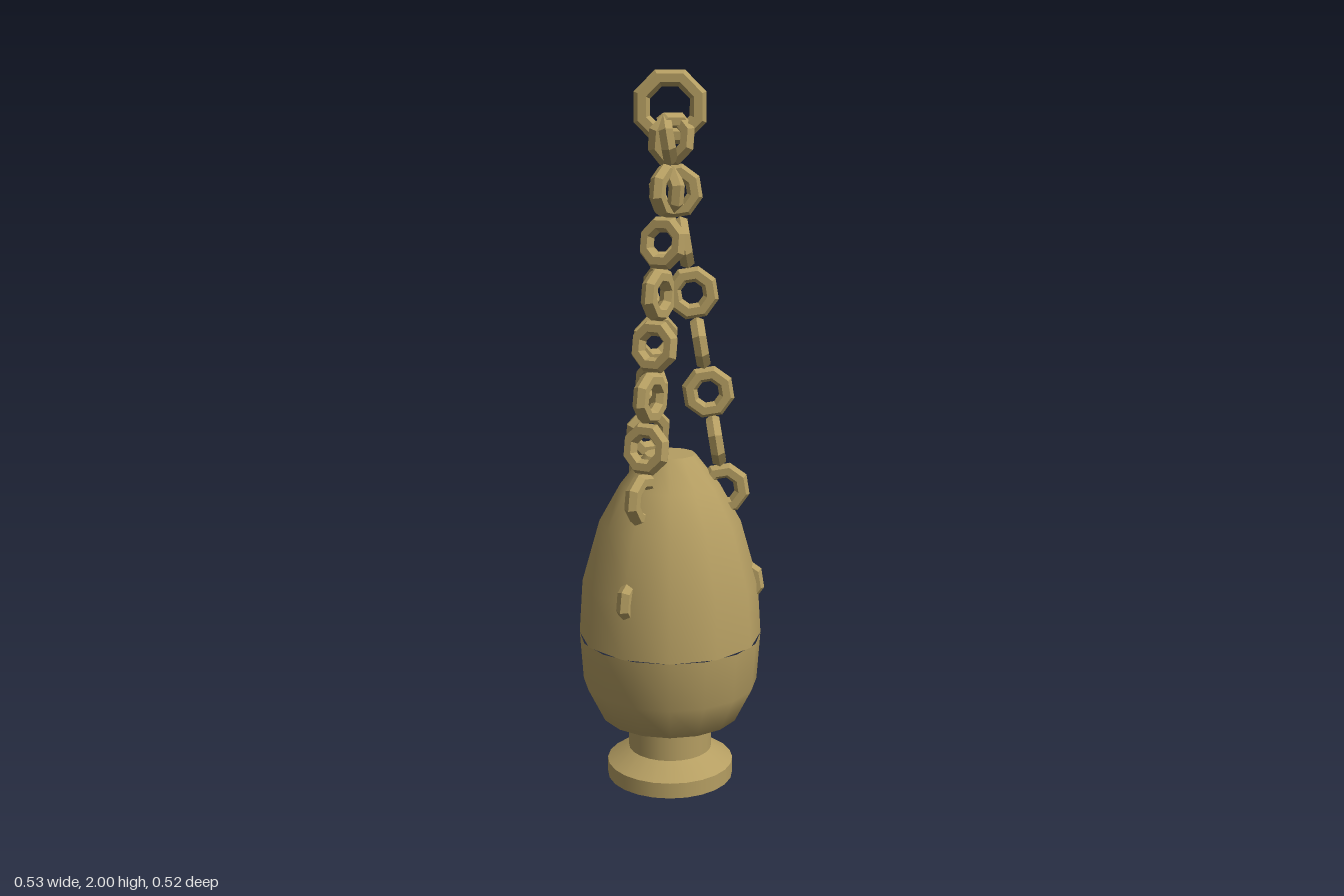
import * as THREE from 'three';

export function createModel() {
  const model = new THREE.Group();
  model.name = 'hangingCenser';
  const brass = new THREE.MeshStandardMaterial({ color: 0xb59e62 });
  brass.name = 'brass';

  const add = (parent, name, geometry) => {
    const mesh = new THREE.Mesh(geometry, brass);
    mesh.name = name;
    parent.add(mesh);
    return mesh;
  };
  // Smooth lathe; profile runs from bottom to top as [radius, height]
  const lathe = (name, profile, sides) => add(model, name,
    new THREE.LatheGeometry(profile.map(([r, y]) => new THREE.Vector2(r, y)), sides));

  // Foot, in separate bands so the edges stay sharp
  lathe('footUnderside', [[0, 0], [0.182, 0]], 24);
  lathe('footRim', [[0.182, 0], [0.182, 0.045]], 24);
  lathe('footSlope', [[0.182, 0.045], [0.12, 0.085]], 24);
  lathe('footNeck', [[0.12, 0.08], [0.12, 0.16]], 24);

  // Bowl and lid meet at the widest point
  lathe('bowl', [[0, 0.15], [0.118, 0.155], [0.2, 0.19], [0.25, 0.29], [0.26, 0.43]], 16);
  lathe('lid', [[0.26, 0.43], [0.25, 0.585], [0.2, 0.762], [0.14, 0.87], [0.072, 0.957]], 12);
  lathe('lidTop', [[0.072, 0.957], [0, 0.957]], 12);

  // Faceted ring with a flat on top
  const ring = (radius, tube) => {
    const g = new THREE.TorusGeometry(radius, tube, 6, 8);
    g.rotateZ(Math.PI / 8);
    const flat = g.toNonIndexed();
    flat.computeVertexNormals();
    return flat;
  };
  add(model, 'hangingRing', ring(0.081, 0.024)).position.y = 1.903;

  // Three chains spread from the ring, their links turned alternately
  const linkShape = ring(0.053, 0.022);
  const spacing = 0.1394;
  for (let c = 0; c < 3; c++) {
    const chain = new THREE.Group();
    chain.name = 'chain' + (c + 1);
    chain.rotation.y = c * Math.PI * 2 / 3;
    const line = new THREE.Group();
    line.name = 'chainLine';
    line.position.set(-0.007, 1.82, 0);
    line.rotation.z = Math.atan(0.164);
    for (let k = 0; k < 10; k++) {
      const link = add(line, 'chainLink', linkShape);
      link.position.y = -k * spacing;
      if (k % 2 === 0) link.rotation.y = Math.PI / 2;
    }
    chain.add(line);
    model.add(chain);
  }
  return model;
}
